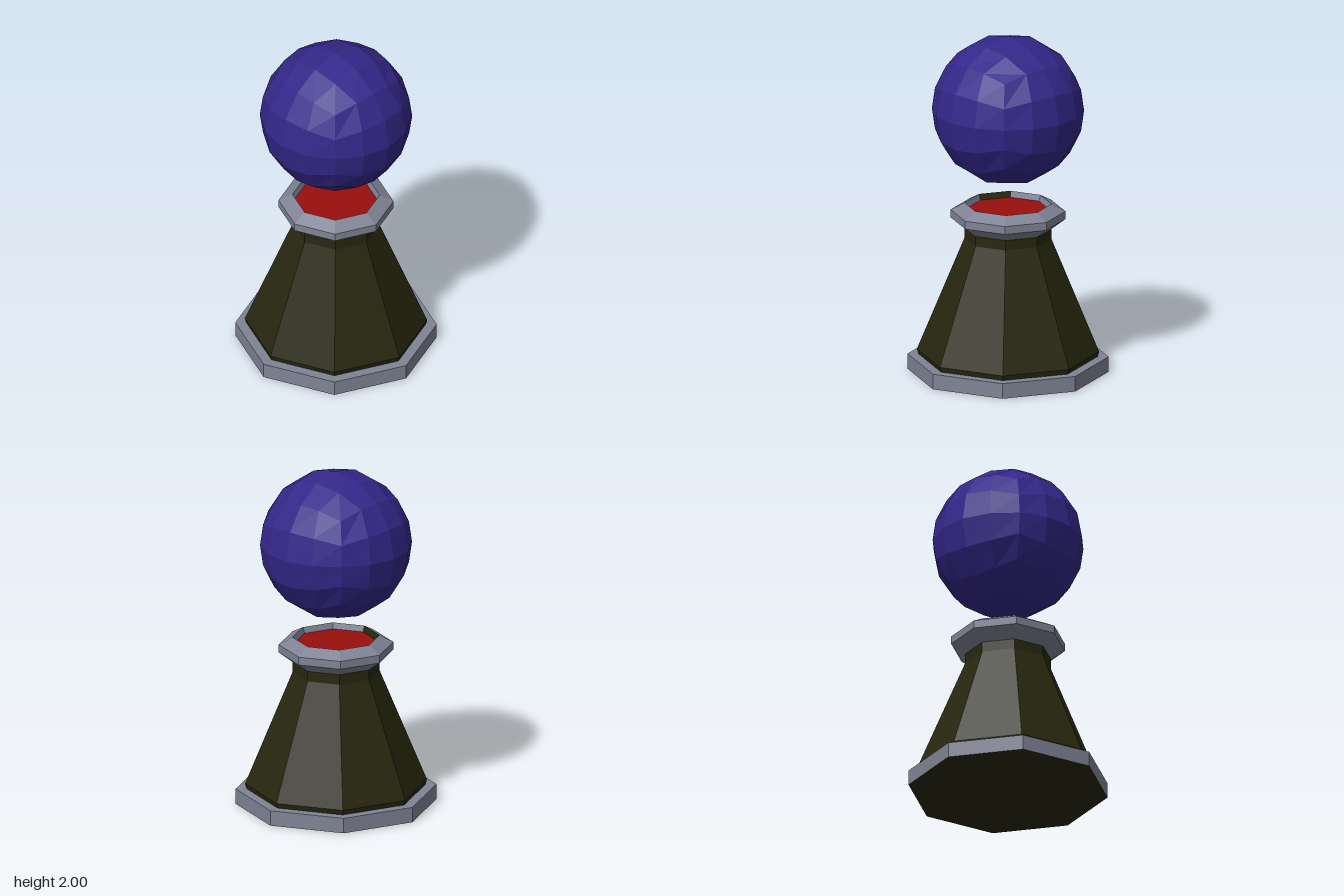
import * as THREE from 'three';

const SIDES = 8;

function paint(name, color) {
  const material = new THREE.MeshStandardMaterial({ color });
  material.name = name;
  return material;
}

// Give every facet its own normal
function faceted(geometry) {
  const flat = geometry.toNonIndexed();
  flat.computeVertexNormals();
  return flat;
}

// Eight-sided turned part, or a slice of one; the profile lists [radius, height]
function turned(profile, firstSide = 0, sides = SIDES) {
  const points = profile.map(([r, y]) => new THREE.Vector2(r, y));
  const step = (Math.PI * 2) / SIDES;
  return faceted(new THREE.LatheGeometry(points, sides, firstSide * step, sides * step));
}

function disc(radius, y, facingUp) {
  const g = new THREE.CircleGeometry(radius, SIDES);
  g.rotateX(facingUp ? -Math.PI / 2 : Math.PI / 2);
  g.translate(0, y, 0);
  return faceted(g);
}

// Ball made from a gridded cube, with its lines spaced at equal angles
function cubeBall(radius, divisions) {
  const g = new THREE.BoxGeometry(2, 2, 2, divisions, divisions, divisions);
  const p = g.attributes.position;
  const v = new THREE.Vector3();
  const warp = (t) => Math.tan((t * Math.PI) / 4);
  for (let i = 0; i < p.count; i++) {
    v.fromBufferAttribute(p, i);
    v.set(warp(v.x), warp(v.y), warp(v.z)).setLength(radius);
    p.setXYZ(i, v.x, v.y, v.z);
  }
  return faceted(g);
}

export function createModel() {
  const model = new THREE.Group();
  model.name = 'pawn';

  const grey = paint('blueGrey', 0x7f8395);
  const olive = paint('darkOlive', 0x28270f);
  const indigo = paint('indigo', 0x34278a);
  const red = paint('red', 0x990f0f);

  const add = (name, geometry, material) => {
    const mesh = new THREE.Mesh(geometry, material);
    mesh.name = name;
    model.add(mesh);
  };

  // Foot
  add('baseRim', turned([[0.578, 0], [0.578, 0.09], [0.515, 0.09]]), grey);
  add('baseUnderside', disc(0.578, 0, false), olive);

  // Tapered body with a short straight neck
  add('body', turned([[0.515, 0.09], [0.524, 0.12], [0.25, 0.79], [0.25, 0.85]]), olive);

  // Collar, its inner wall and the sunken top
  add('collar', turned([[0.25, 0.85], [0.33, 0.91], [0.33, 0.957], [0.25, 1]]), grey);
  const innerWall = [[0.25, 1], [0.238, 0.965]];
  add('collarInnerWall', turned(innerWall, 6, 7), grey);
  add('collarInnerPanel', turned(innerWall, 5, 1), olive);
  add('collarTop', disc(0.238, 0.965, true), red);

  // Floating head
  const head = cubeBall(0.4375, 4);
  head.translate(0, 1.5625, 0);
  add('head', head, indigo);

  return model;
}
